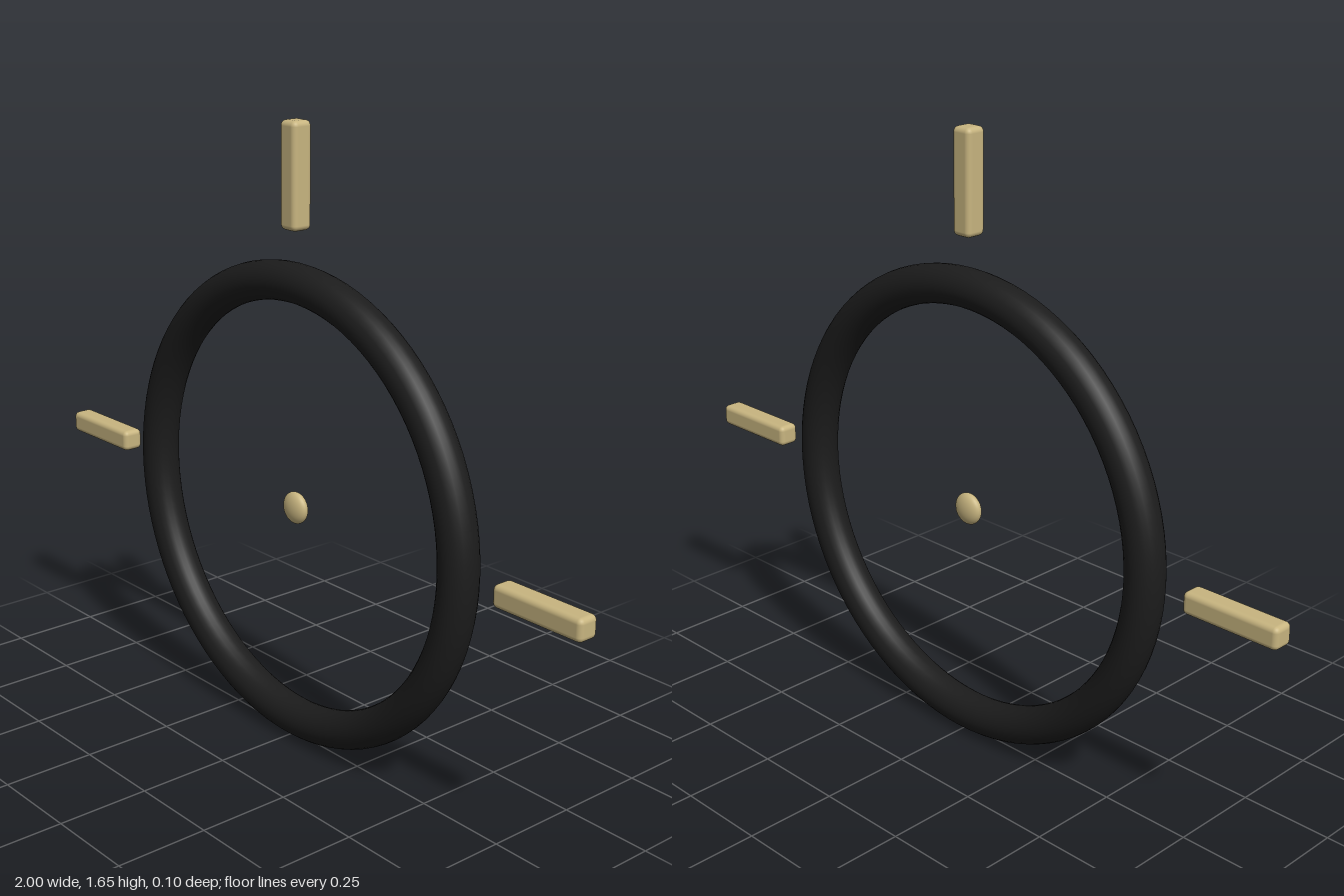
import * as THREE from 'three';
import { RoundedBoxGeometry } from 'three/addons/geometries/RoundedBoxGeometry.js';

export function createModel() {
  const model = new THREE.Group();
  const black = new THREE.MeshStandardMaterial({ color: 0x1c1c1c });
  black.name = 'matte black';
  const tan = new THREE.MeshStandardMaterial({ color: 0xc8b580 });
  tan.name = 'pale brass';

  const centerY = 0.648;
  const add = (name, geometry, material, x, y) => {
    const mesh = new THREE.Mesh(geometry, material);
    mesh.name = name;
    mesh.position.set(x, y, 0);
    model.add(mesh);
    return mesh;
  };

  // Upright ring
  add('ring', new THREE.TorusGeometry(0.596, 0.051, 24, 96), black, 0, centerY);

  // Flattened bead in the middle of the ring
  add('centerBead', new THREE.SphereGeometry(0.043, 32, 20), tan, 0, centerY).scale.z = 0.5;

  // Rounded bars around the ring: left, top and right
  const bar = new RoundedBoxGeometry(0.27, 0.059, 0.059, 3, 0.014);
  ['leftBar', 'topBar', 'rightBar'].forEach((name, i) => {
    const angle = i * Math.PI / 2;
    const mesh = add(name, bar, tan, Math.cos(angle) * 0.865, centerY + Math.sin(angle) * 0.865);
    mesh.rotation.z = angle;
  });

  return model;
}
